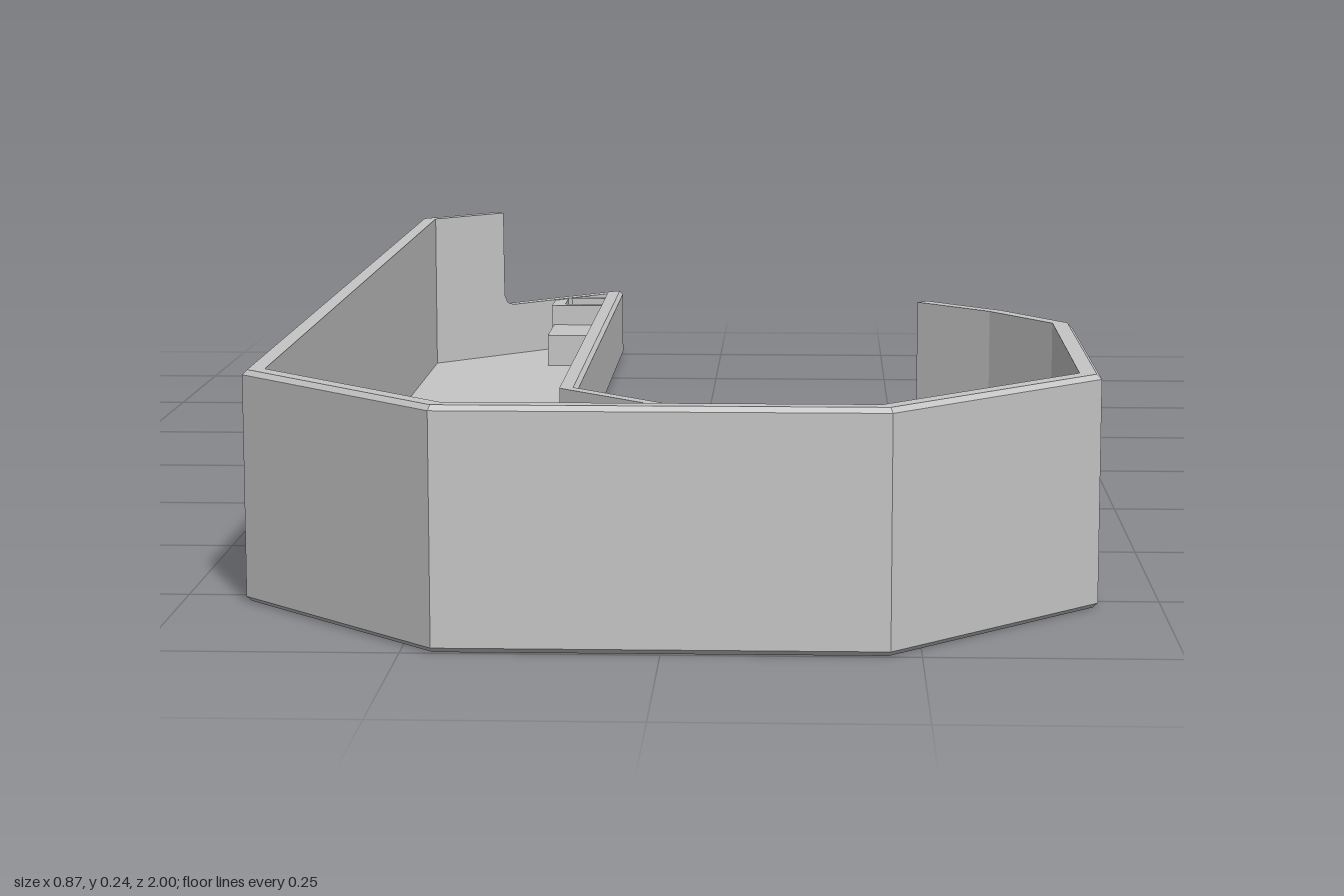
import * as THREE from 'three';

const HIGH = 0.24, LOW = 0.1, FLOOR = 0.025, WALL = 0.022, BEVEL = 0.005;

// Outline stations [x, z, wall height, upper x, upper z], counterclockwise seen from above
const stations = [
  [-0.435, -0.733, HIGH], [-0.435, 0.78, HIGH], [-0.22, 1, HIGH], [0.22, 1, HIGH],
  [0.435, 0.78, HIGH], [0.435, 0.398, HIGH],
  // corner cut back towards the rim
  [0.435, 0.352, HIGH, 0.4345, 0.388], [0.365, 0.282, HIGH],
  // step down with a small fillet
  [0.283, 0.2, HIGH], [0.282, 0.199, 0.115], [0.278, 0.195, 0.104], [0.27, 0.187, LOW],
  [0.213, 0.13, LOW], [-0.006, 0.13, LOW], [-0.153, -0.018, LOW],
  // pointed end
  [-0.153, -1, LOW], [-0.168, -1, LOW],
  // step back up
  [-0.324, -0.844, LOW], [-0.332, -0.836, 0.104], [-0.336, -0.832, 0.115], [-0.337, -0.831, HIGH],
];
const lower = stations.map((s) => [s[0], s[1]]);
const upper = stations.map((s) => [s[3] ?? s[0], s[4] ?? s[1]]);
const tip = stations.findIndex((s) => s[1] === -1);

// Mitred inward offset of the closed outline, with the sharp tip set by hand
function inset(points, d, tipA, tipB) {
  const n = points.length;
  const normal = (a, b) => {
    const dx = b[0] - a[0], dz = b[1] - a[1], l = Math.hypot(dx, dz);
    return [dz / l, -dx / l];
  };
  const out = points.map((p, i) => {
    const a = normal(points[(i + n - 1) % n], p), b = normal(p, points[(i + 1) % n]);
    const k = d / (1 + a[0] * b[0] + a[1] * b[1]);
    return [p[0] + (a[0] + b[0]) * k, p[1] + (a[1] + b[1]) * k];
  });
  out[tip] = tipA;
  out[tip + 1] = tipB;
  return out;
}
const foot = inset(lower, BEVEL, [-0.158, -0.995], [-0.166, -0.995]);
const rim = inset(upper, BEVEL, [-0.158, -0.995], [-0.166, -0.995]);
const inner = inset(upper, WALL, [-0.175, -0.962], [-0.175, -0.962]);

const rect = (x, z, w, d) => [
  [x - w / 2, z + d / 2], [x + w / 2, z + d / 2], [x + w / 2, z - d / 2], [x - w / 2, z - d / 2],
];

// Upright plate from y0 to y1, with optional holes
function slab(points, holes, y0, y1) {
  const vec = (list) => list.map(([x, z]) => new THREE.Vector2(x, -z));
  const shape = new THREE.Shape(vec(points));
  holes.forEach((h) => shape.holes.push(new THREE.Path(vec(h))));
  const g = new THREE.ExtrudeGeometry(shape, { depth: y1 - y0, bevelEnabled: false });
  return g.rotateX(-Math.PI / 2).translate(0, y0, 0);
}

// Wall swept round the outline from one cross-section per station
function wallGeometry() {
  const rings = stations.map(([, , h], i) => {
    const y0 = Math.min(0.115, h - 0.006), y1 = Math.min(0.2, h - BEVEL);
    const blend = [0, 0.25, 0.5, 0.75, 1].map((t) => [
      THREE.MathUtils.lerp(lower[i][0], upper[i][0], t),
      THREE.MathUtils.lerp(y0, y1, t),
      THREE.MathUtils.lerp(lower[i][1], upper[i][1], t),
    ]);
    const at = (p, y) => [p[0], y, p[1]];
    return [
      at(foot[i], 0), at(lower[i], BEVEL), ...blend, at(upper[i], h - BEVEL),
      at(rim[i], h), at(inner[i], h), at(inner[i], FLOOR - 0.005),
    ];
  });
  const pos = [];
  rings.forEach((r, i) => {
    const q = rings[(i + 1) % rings.length];
    for (let j = 0; j < r.length - 1; j++) {
      pos.push(...r[j], ...q[j], ...q[j + 1], ...r[j], ...q[j + 1], ...r[j + 1]);
    }
  });
  const g = new THREE.BufferGeometry();
  g.setAttribute('position', new THREE.Float32BufferAttribute(pos, 3));
  g.computeVertexNormals();
  return g;
}

export function createModel() {
  const group = new THREE.Group();
  const grey = new THREE.MeshStandardMaterial({ color: 0xc5c5c5, flatShading: true, side: THREE.DoubleSide });
  grey.name = 'light grey plastic';
  const add = (name, geometry) => {
    const mesh = new THREE.Mesh(geometry, grey);
    mesh.name = name;
    group.add(mesh);
  };

  // Posts with a socket open at the top
  const posts = [
    { name: 'rightPost', outer: rect(-0.144, 0.415, 0.095, 0.106), hole: rect(-0.144, 0.417, 0.064, 0.072) },
    { name: 'leftPost', outer: rect(0.141, 0.415, 0.095, 0.106), hole: rect(0.141, 0.417, 0.064, 0.072) },
    {
      name: 'tipPost',
      outer: [[-0.25, -0.825], [-0.16, -0.825], [-0.16, -0.93], [-0.232, -0.93], [-0.25, -0.912]],
      hole: rect(-0.199, -0.876, 0.064, 0.07),
    },
  ];
  // Blocks with a socket open through the underside
  const blocks = [
    { name: 'rightBlock', outer: rect(-0.232, 0.56, 0.094, 0.11), hole: rect(-0.232, 0.56, 0.066, 0.074) },
    { name: 'leftBlock', outer: rect(0.227, 0.56, 0.094, 0.11), hole: rect(0.227, 0.56, 0.066, 0.074) },
    { name: 'tipBlock', outer: rect(-0.209, -0.765, 0.076, 0.116), hole: rect(-0.209, -0.765, 0.064, 0.074) },
  ];

  // Tray shell
  add('wall', wallGeometry());
  add('floor', slab(foot, blocks.map((b) => b.hole), 0, FLOOR));

  for (const { name, outer, hole } of posts) {
    add(name + 'Base', slab(outer, [], FLOOR, 0.065));
    add(name + 'Socket', slab(outer, [hole], 0.065, LOW - 0.001));
  }
  for (const { name, outer, hole } of blocks) {
    add(name + 'Socket', slab(outer, [hole], FLOOR, 0.05));
    add(name + 'Cap', slab(outer, [], 0.05, 0.07));
  }

  return group;
}
